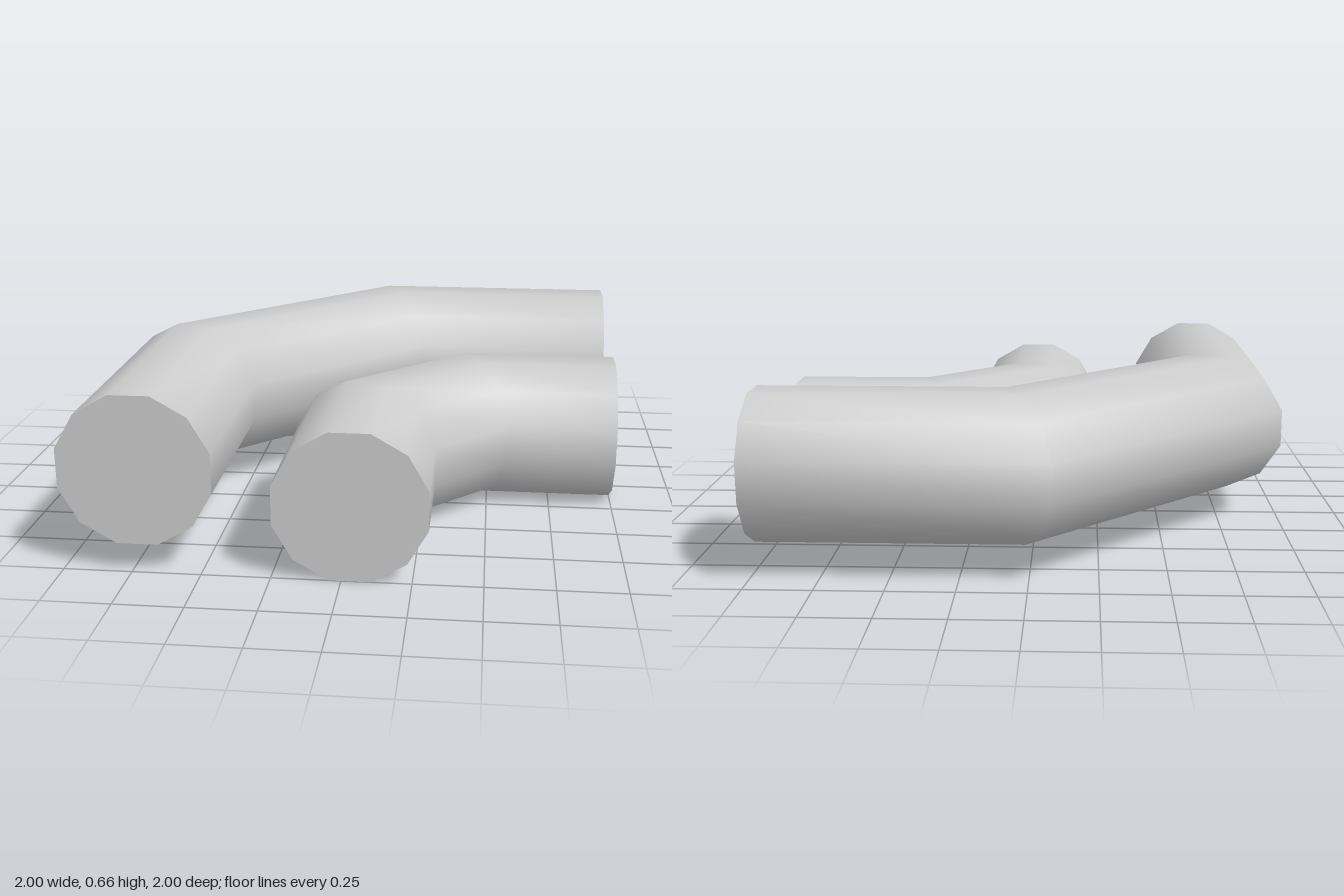
import * as THREE from 'three';

const SIDES = 12;
const RADIUS = 0.275 / Math.cos(Math.PI / SIDES); // flats lie 0.275 from the axis
const START = Math.PI / SIDES;
const MITRE = 0.5; // slope of the joint across the pipe

// Smooth pipe wall: front leg, diagonal, then the leg towards +x (mirrored in x = z)
function pipeWall(offset, bend) {
  const positions = [];
  const index = [];
  for (let ring = 0; ring < 4; ring++) {
    for (let j = 0; j < SIDES; j++) {
      const angle = START + (j / SIDES) * Math.PI * 2;
      const u = RADIUS * Math.cos(angle);
      const v = RADIUS * Math.sin(angle);
      const across = offset + u;
      const along = ring === 0 || ring === 3 ? 1 : bend + MITRE * u;
      if (ring < 2) positions.push(across, v, along);
      else positions.push(along, v, across);
    }
  }
  for (let ring = 0; ring < 3; ring++) {
    for (let j = 0; j < SIDES; j++) {
      const k = (j + 1) % SIDES;
      const a = ring * SIDES + j;
      const b = ring * SIDES + k;
      index.push(a, a + SIDES, b, b, a + SIDES, b + SIDES);
    }
  }
  const geometry = new THREE.BufferGeometry();
  geometry.setAttribute('position', new THREE.Float32BufferAttribute(positions, 3));
  geometry.setIndex(index);
  geometry.computeVertexNormals();
  return geometry;
}

function bentPipe(name, offset, bend, height, material) {
  const pipe = new THREE.Group();
  pipe.name = name;
  pipe.position.y = height;

  const wall = new THREE.Mesh(pipeWall(offset, bend), material);
  wall.name = 'pipeWall';

  // Flat end caps
  const disc = new THREE.CircleGeometry(RADIUS, SIDES, START);
  const frontCap = new THREE.Mesh(disc, material);
  frontCap.name = 'frontCap';
  frontCap.position.set(offset, 0, 1);
  const leftCap = new THREE.Mesh(disc, material);
  leftCap.name = 'leftCap';
  leftCap.rotation.y = Math.PI / 2;
  leftCap.position.set(1, 0, offset);

  pipe.add(wall, frontCap, leftCap);
  return pipe;
}

export function createModel() {
  const material = new THREE.MeshStandardMaterial({ color: 0xcccccc });
  const model = new THREE.Group();
  model.name = 'bentPipes';
  model.add(
    bentPipe('outerPipe', -0.725, 0.052, 0.387, material),
    bentPipe('innerPipe', 0.031, 0.435, 0.278, material),
  );
  return model;
}
